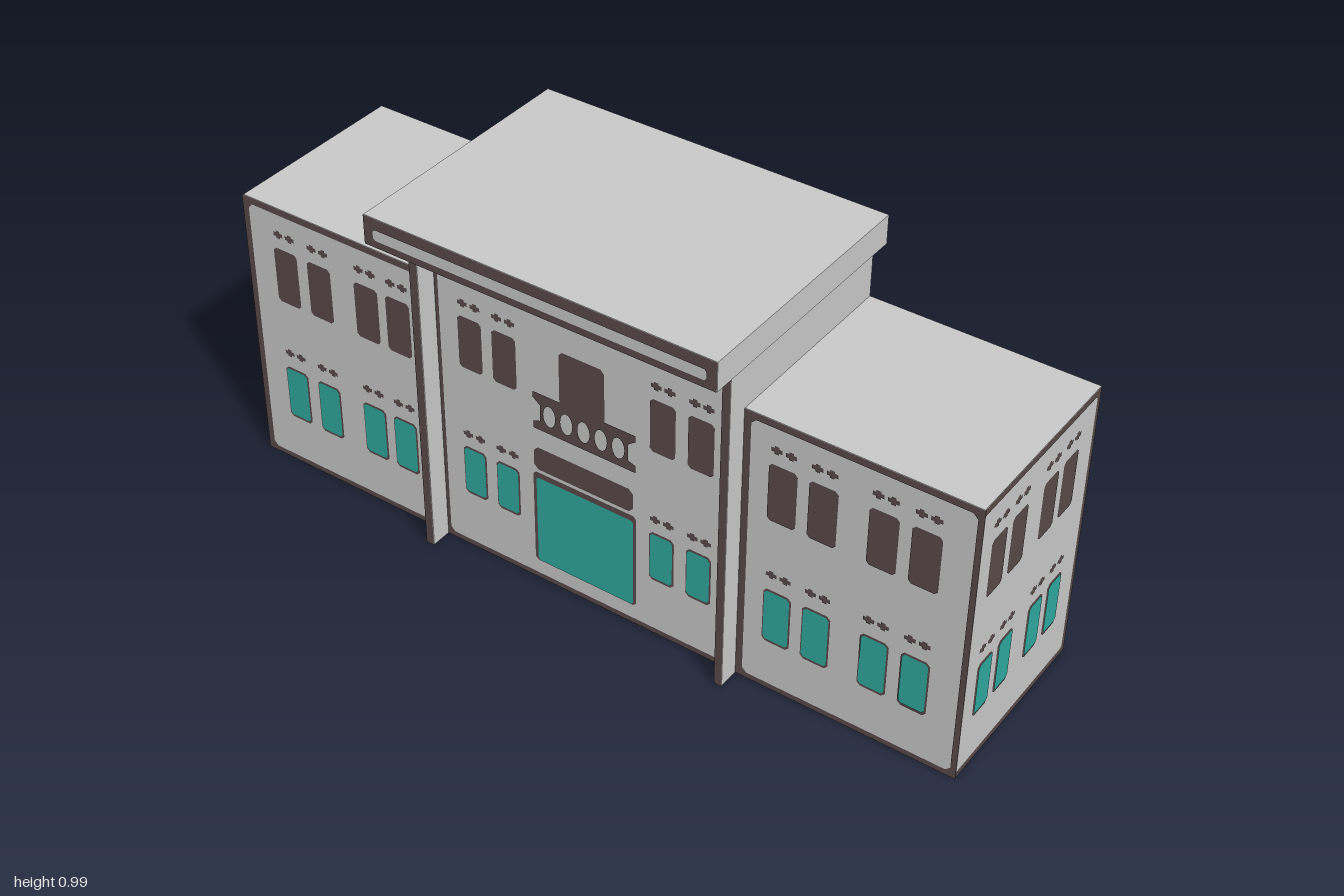
import * as THREE from 'three';

const wall = new THREE.MeshStandardMaterial({ color: 0xc8c8c8 });
wall.name = 'pale grey wall';
const trim = new THREE.MeshStandardMaterial({ color: 0x584a48 });
trim.name = 'dark brown trim';
const glass = new THREE.MeshStandardMaterial({ color: 0x2ea89e });
glass.name = 'teal glass';

// Solid block given by its limits
function block(parent, name, x0, x1, y0, y1, z0, z1) {
  const m = new THREE.Mesh(new THREE.BoxGeometry(x1 - x0, y1 - y0, z1 - z0), wall);
  m.position.set((x0 + x1) / 2, (y0 + y1) / 2, (z0 + z1) / 2);
  m.name = name;
  parent.add(m);
}

// Rectangle with cut corners, written into a Shape or Path
function rect(x0, x1, y0, y1, c = 0, Type = THREE.Shape) {
  const p = new Type();
  p.moveTo(x0 + c, y0);
  p.lineTo(x1 - c, y0);
  if (c) p.lineTo(x1, y0 + c);
  p.lineTo(x1, y1 - c);
  if (c) p.lineTo(x1 - c, y1);
  p.lineTo(x0 + c, y1);
  if (c) p.lineTo(x0, y1 - c);
  p.lineTo(x0, y0 + c);
  p.closePath();
  return p;
}

const centred = (x, w, y0, y1, c) => rect(x - w / 2, x + w / 2, y0, y1, c);

// Border strip: outer limits and inner limits
function border(o, i, c) {
  const s = rect(...o);
  s.holes.push(rect(...i, c, THREE.Path));
  return s;
}

// Small cross-shaped ornament
function cross(x, y, w, h) {
  const a = w / 2, b = h / 2, s = w / 5, t = h / 4;
  return new THREE.Shape([[-a, -t], [-s, -t], [-s, -b], [s, -b], [s, -t], [a, -t],
    [a, t], [s, t], [s, b], [-s, b], [-s, t], [-a, t]].map(([u, v]) => new THREE.Vector2(x + u, y + v)));
}

// Flat painted layer on a facade
function paint(parent, name, material, shapes, z = 0) {
  const m = new THREE.Mesh(new THREE.ShapeGeometry(shapes, 10), material);
  m.position.z = z;
  m.name = name;
  parent.add(m);
}

// Two storeys of windows with ornaments above each one
function windows(parent, xs, w, upper, lower, ornaments) {
  const [u0, u1] = upper, [l0, l1] = lower;
  paint(parent, 'upperWindows', trim, xs.map(x => centred(x, w, u0, u1, 0.008)));
  paint(parent, 'lowerWindowSurrounds', trim, xs.map(x => centred(x, w, l0, l1, 0.009)));
  paint(parent, 'lowerWindowPanes', glass,
    xs.map(x => centred(x, w - 0.007, l0 + 0.008, l1 - 0.004, 0.007)), 0.002);
  paint(parent, 'windowOrnaments', trim, ornaments.flatMap(y =>
    xs.flatMap(x => [-1, 1].map(s => cross(x + s * 0.018, y, 0.028, 0.021)))));
}

function facade(parent, name, x, z, turn = 0) {
  const g = new THREE.Group();
  g.name = name;
  g.position.set(x, 0, z);
  g.rotation.y = turn;
  parent.add(g);
  return g;
}

export function createModel() {
  const model = new THREE.Group();
  model.name = 'townHall';

  // Main masses
  block(model, 'mainBody', -0.997, 0.997, 0, 0.76, -0.332, 0.172);
  block(model, 'centreUpperBody', -0.437, 0.425, 0.76, 0.912, -0.332, 0.172);
  block(model, 'cornice', -0.47, 0.457, 0.912, 0.987, -0.332, 0.33);
  block(model, 'rightPilaster', -0.437, -0.415, 0, 0.912, 0.172, 0.229);
  block(model, 'leftPilaster', 0.405, 0.425, 0, 0.912, 0.172, 0.229);

  // Pilaster and cornice faces
  const pilasters = facade(model, 'pilasterFaces', 0, 0.231);
  paint(pilasters, 'pilasterFronts', trim, [rect(-0.437, -0.415, 0, 0.912), rect(0.405, 0.425, 0, 0.912)]);
  const cornice = facade(model, 'corniceFace', 0, 0.332);
  paint(cornice, 'corniceBorder', trim,
    border([-0.47, 0.457, 0.912, 0.987], [-0.445, 0.432, 0.93, 0.958], 0.006));

  // Wing fronts
  const front = [0.29, 0.145];
  for (const [name, x0, x1, xs] of [
    ['rightWingFront', -1, -0.437, [-0.877, -0.773, -0.628, -0.532]],
    ['leftWingFront', 0.425, 1, [0.527, 0.628, 0.775, 0.877]],
  ]) {
    const f = facade(model, name, 0, 0.174);
    paint(f, 'wingBorder', trim, border([x0, x1, 0, 0.76], [x0 + 0.018, x1 - 0.015, 0.015, 0.742], 0.012));
    windows(f, xs, 0.072, [0.49, 0.645], [front[1] - 0.005, front[0] + 0.004], [0.338, 0.685]);
  }

  // Centre front
  const centre = facade(model, 'centreFront', 0, 0.174);
  paint(centre, 'centreBorder', trim,
    border([-0.415, 0.405, 0, 0.912], [-0.405, 0.4, 0.015, 0.888], 0.012));
  windows(centre, [-0.318, -0.22, 0.217, 0.318], 0.068, [0.535, 0.68], [0.162, 0.304], [0.342, 0.717]);
  paint(centre, 'balconyDoor', trim, rect(-0.065, 0.06, 0.545, 0.698, 0.01));

  // Balcony railing with oval gaps between balusters
  const rail = new THREE.Shape([[-0.14, 0.453], [0.145, 0.453], [0.145, 0.473], [0.125, 0.48], [0.125, 0.525],
    [0.145, 0.54], [0.145, 0.557], [-0.14, 0.557], [-0.14, 0.54], [-0.12, 0.525], [-0.12, 0.48], [-0.14, 0.473]]
    .map(([x, y]) => new THREE.Vector2(x, y)));
  for (let i = -2; i <= 2; i++) {
    const gap = new THREE.Path();
    gap.absellipse(0.002 + i * 0.048, 0.502, 0.017, 0.029, 0, Math.PI * 2);
    rail.holes.push(gap);
  }
  paint(centre, 'balconyRailing', trim, rail, 0.001);

  // Entrance
  paint(centre, 'entranceCanopy', trim, rect(-0.142, 0.138, 0.333, 0.398, 0.012));
  paint(centre, 'entranceSurround', trim, rect(-0.145, 0.147, 0.055, 0.324, 0.008));
  paint(centre, 'entranceDoors', glass, rect(-0.135, 0.14, 0.058, 0.31, 0.006), 0.002);

  // Wing ends, the same layout on both sides
  for (const s of [1, -1]) {
    const f = facade(model, s > 0 ? 'leftEnd' : 'rightEnd', s * 0.998, -0.079, s * Math.PI / 2);
    paint(f, 'endBorder', trim,
      border([-0.253, 0.253, 0, 0.76], [-0.251, 0.239, 0.017, 0.742], 0.006));
    windows(f, [-0.169, -0.08, 0.055, 0.144], 0.066, [0.488, 0.643], [0.144, 0.297], [0.338, 0.684]);
  }
  return model;
}
